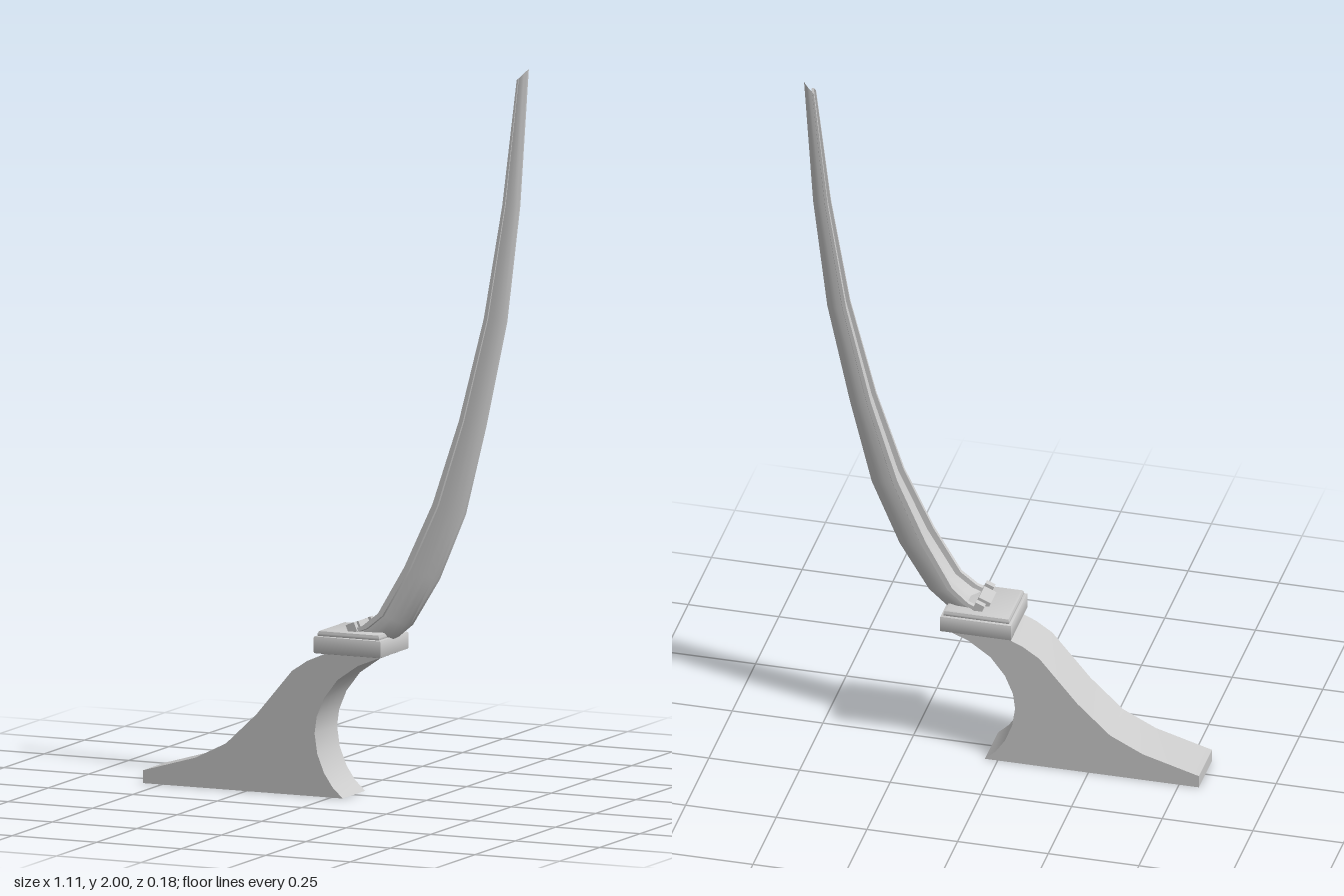
import * as THREE from 'three';
import { toCreasedNormals } from 'three/addons/utils/BufferGeometryUtils.js';

const material = new THREE.MeshStandardMaterial({ color: 0xcccccc });

function addMesh(group, name, geometry, crease = 0.6) {
  const mesh = new THREE.Mesh(toCreasedNormals(geometry, crease), material);
  mesh.name = name;
  group.add(mesh);
  return mesh;
}

// Sweeping foot: a side profile extruded across z
function footGeometry() {
  const toe = [[-0.555, 0.035], [-0.4, 0.08], [-0.31, 0.125], [-0.22, 0.21], [-0.115, 0.335], [-0.07, 0.365], [-0.02, 0.387]];
  const hollow = [[0.15, 0.39], [0.08, 0.362], [0.02, 0.32], [-0.02, 0.268], [-0.042, 0.215], [-0.048, 0.17],
    [-0.04, 0.115], [-0.02, 0.065], [0.005, 0.028], [0.035, 0]];
  const points = [[-0.555, 0], ...toe, [0, 0.392], ...hollow].map(([x, y]) => new THREE.Vector2(x, y));
  const geometry = new THREE.ExtrudeGeometry(new THREE.Shape(points), { depth: 0.14, bevelEnabled: false });
  return geometry.translate(0, 0, -0.07);
}

// Rectangular slab lying flat, with a small bevel
function slabGeometry(x0, x1, y0, y1, halfZ, bevel) {
  const s = new THREE.Shape();
  s.moveTo(x0 + bevel, -halfZ + bevel);
  s.lineTo(x1 - bevel, -halfZ + bevel);
  s.lineTo(x1 - bevel, halfZ - bevel);
  s.lineTo(x0 + bevel, halfZ - bevel);
  s.closePath();
  const geometry = new THREE.ExtrudeGeometry(s, {
    depth: y1 - y0 - 2 * bevel, bevelSize: bevel, bevelThickness: bevel, bevelSegments: 2,
  });
  return geometry.rotateX(-Math.PI / 2).translate(0, y0 + bevel, 0);
}

// Tapering curved blade: each ring spans from the inner edge to the outer edge
function bladeGeometry() {
  // inner x, inner y, outer x, outer y, half width
  const rings = [
    [0.05, 0.455, 0.13, 0.415, 0.056], [0.085, 0.468, 0.165, 0.435, 0.054], [0.13, 0.505, 0.207, 0.47, 0.05],
    [0.205, 0.635, 0.288, 0.6, 0.044], [0.285, 0.81, 0.365, 0.78, 0.037], [0.36, 1.04, 0.425, 1.02, 0.03],
    [0.43, 1.32, 0.488, 1.31, 0.023], [0.482, 1.63, 0.527, 1.63, 0.017], [0.522, 1.97, 0.552, 2.0, 0.012],
  ];
  // depth fraction and width fraction for half a section: channel, rim, rounded back
  const half = [[0.3, 0.25], [0.22, 0.55], [0.18, 0.74], [0, 0.78], [0, 1], [0.17, 1], [0.2, 0.88],
    [0.45, 0.85], [0.68, 0.7], [0.87, 0.46], [0.98, 0.18]];
  const section = [...half, ...half.map(([d, w]) => [d, -w]).reverse()];
  const n = section.length;
  const positions = [];
  const index = [];
  for (const [ix, iy, ox, oy, w] of rings) {
    for (const [d, z] of section) positions.push(ix + (ox - ix) * d, iy + (oy - iy) * d, z * w);
  }
  for (let r = 0; r < rings.length - 1; r++) {
    for (let k = 0; k < n; k++) {
      const a = r * n + k;
      const b = r * n + (k + 1) % n;
      index.push(a, a + n, b, b, a + n, b + n);
    }
  }
  // End caps
  const flat = section.map(([d, z]) => new THREE.Vector2(d, z));
  const last = (rings.length - 1) * n;
  const clockwise = THREE.ShapeUtils.isClockWise(flat);
  for (const [a, b, c] of THREE.ShapeUtils.triangulateShape(flat, [])) {
    const [p, q] = clockwise ? [b, c] : [c, b];
    index.push(a, p, q, last + a, last + q, last + p);
  }
  const geometry = new THREE.BufferGeometry();
  geometry.setAttribute('position', new THREE.Float32BufferAttribute(positions, 3));
  geometry.setIndex(index);
  // Make the winding face outward whichever way the section runs
  let volume = 0;
  const p = [new THREE.Vector3(), new THREE.Vector3(), new THREE.Vector3()];
  for (let i = 0; i < index.length; i += 3) {
    p.forEach((v, j) => v.fromArray(positions, index[i + j] * 3));
    volume += p[0].dot(p[1].clone().cross(p[2]));
  }
  if (volume < 0) geometry.setIndex(index.slice().reverse());
  return geometry;
}

export function createModel() {
  const group = new THREE.Group();
  group.name = 'curvedBladeOnFoot';

  addMesh(group, 'foot', footGeometry(), 0.5);
  addMesh(group, 'collar', slabGeometry(-0.042, 0.155, 0.39, 0.437, 0.088, 0.004));
  addMesh(group, 'collarTop', slabGeometry(-0.034, 0.147, 0.43, 0.452, 0.08, 0.008));
  addMesh(group, 'blade', bladeGeometry(), 0.7);

  // Tongue at the root of the channel
  const tongue = addMesh(group, 'tongue', new THREE.BoxGeometry(0.036, 0.022, 0.06));
  tongue.position.set(0.05, 0.46, 0);
  tongue.rotation.z = 0.4;

  // Lugs at the root of each rim
  for (const side of [-1, 1]) {
    const lug = addMesh(group, side > 0 ? 'frontLug' : 'backLug', new THREE.BoxGeometry(0.026, 0.026, 0.016));
    lug.position.set(0.056, 0.461, side * 0.052);
    lug.rotation.z = 0.4;
  }
  return group;
}
